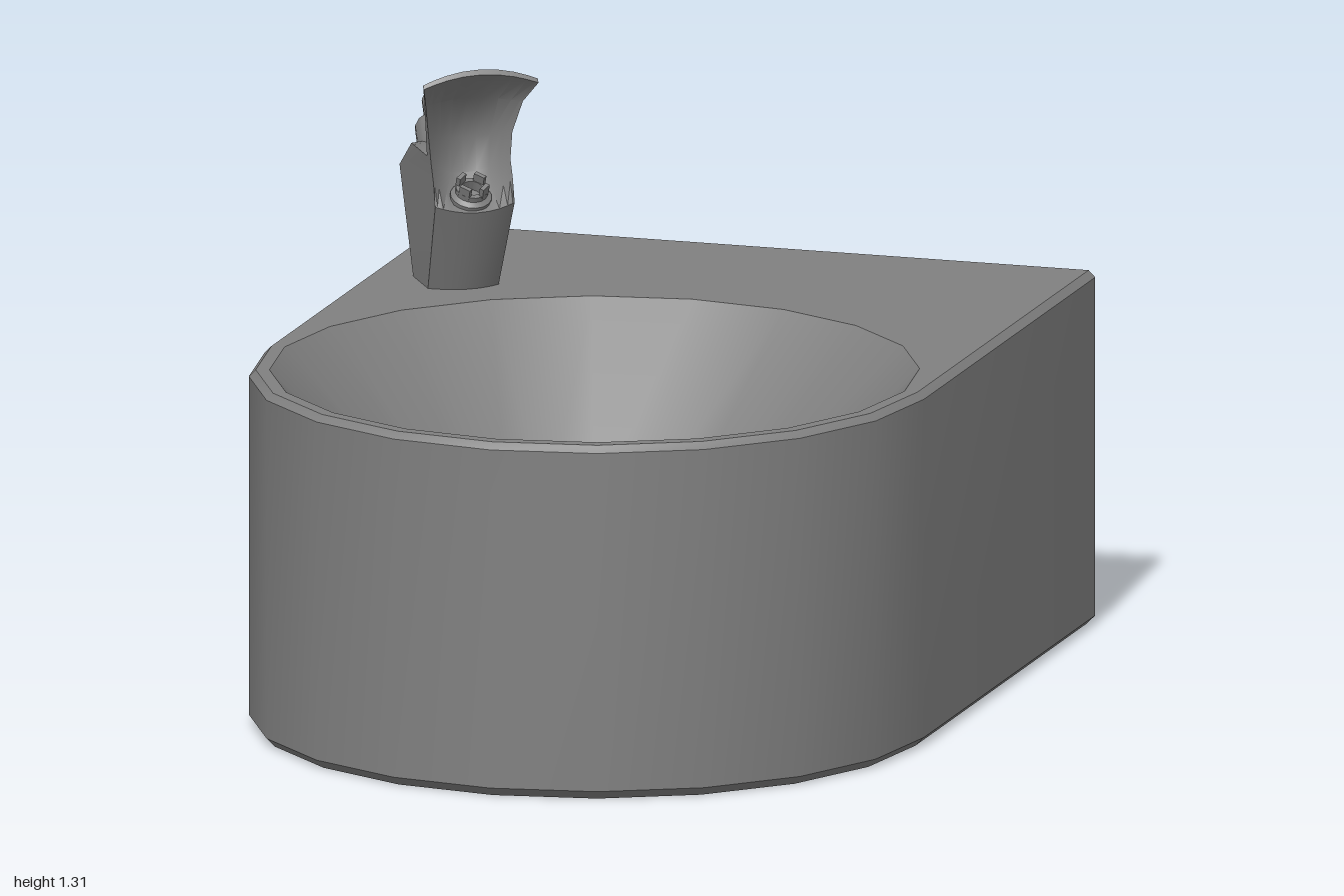
import * as THREE from 'three';
import { toCreasedNormals } from 'three/addons/utils/BufferGeometryUtils.js';

const CX = 0.055, CZ = 0.243, R = 0.757, TOP = 0.795;
const V2 = (x, y) => new THREE.Vector2(x, y);

export function createModel() {
  const model = new THREE.Group();
  const steel = new THREE.MeshStandardMaterial({ color: 0x808080, side: THREE.DoubleSide });
  steel.name = 'steel grey';

  const add = (parent, name, geometry, crease = 0.6) => {
    const mesh = new THREE.Mesh(toCreasedNormals(geometry, crease), steel);
    mesh.name = name;
    parent.add(mesh);
    return mesh;
  };
  const lathe = (points, sides) => new THREE.LatheGeometry(points.map(p => V2(...p)), sides);
  const build = (positions, indices) => {
    const g = new THREE.BufferGeometry();
    g.setAttribute('position', new THREE.Float32BufferAttribute(positions, 3));
    g.setIndex(indices);
    return g;
  };

  // D-shaped outline in plan (x, -z), open at the back
  const outline = inset => {
    const r = R - inset, pts = [V2(CX + r, 1)];
    for (let i = 0; i <= 10; i++) {
      const a = i * Math.PI / 10;
      pts.push(V2(CX + r * Math.cos(a), -CZ - r * Math.sin(a)));
    }
    pts.push(V2(CX - r, 1));
    return pts;
  };

  // Wall with narrow bevels along the top and bottom edges
  const levels = [[0.02, 0], [0, 0.02], [0, TOP - 0.015], [0.015, TOP]];
  const pos = [], idx = [], n = outline(0).length;
  levels.forEach(([inset, y], k) => outline(inset).forEach((p, i) => {
    pos.push(p.x, y, -p.y);
    if (k < levels.length - 1 && i < n - 1) {
      const a = k * n + i;
      idx.push(a, a + n, a + 1, a + 1, a + n, a + n + 1);
    }
  }));
  add(model, 'basinWall', build(pos, idx), 0.5);

  // Floor, and top plate with the bowl opening
  const plate = (name, shape, y) =>
    add(model, name, new THREE.ShapeGeometry(shape).rotateX(-Math.PI / 2).translate(0, y, 0));
  plate('basinFloor', new THREE.Shape(outline(0.02)), 0);
  const topShape = new THREE.Shape(outline(0.015));
  const rim = [];
  for (let i = 0; i < 20; i++) {
    const a = i * Math.PI / 10;
    rim.push(V2(CX + 0.712 * Math.sin(a), -CZ - 0.712 * Math.cos(a)));
  }
  topShape.holes.push(new THREE.Path(rim));
  plate('topPlate', topShape, TOP);

  // Conical bowl with a flat bottom
  const bowl = add(model, 'bowl', lathe([[0, 0.4], [0.325, 0.4], [0.712, TOP]], 20));
  bowl.position.set(CX, 0, CZ);

  // Drain: raised ring and slotted strainer
  const drain = new THREE.Group();
  drain.name = 'drain';
  drain.position.set(CX, 0.4, CZ);
  model.add(drain);
  add(drain, 'drainRing', lathe([[0.218, 0], [0.218, 0.012], [0.212, 0.017], [0.206, 0.012], [0.206, 0]], 40));
  const strainer = new THREE.Shape().absarc(0, 0, 0.207, 0, Math.PI * 2);
  for (let i = 0; i < 11; i++) {
    const a = -Math.PI / 2 + i * Math.PI * 2 / 11;
    const corner = (r, h) => V2(r * Math.cos(a) - h * Math.sin(a), r * Math.sin(a) + h * Math.cos(a));
    strainer.holes.push(new THREE.Path([corner(0.05, -0.01), corner(0.05, 0.01), corner(0.11, 0.02), corner(0.11, -0.02)]));
  }
  strainer.holes.push(new THREE.Path().absarc(0, 0, 0.024, 0, Math.PI * 2, true));
  add(drain, 'strainer', new THREE.ExtrudeGeometry(strainer, { depth: 0.009, bevelEnabled: false, curveSegments: 20 }).rotateX(-Math.PI / 2));

  // Push button on the right side
  const button = new THREE.Group();
  button.name = 'pushButton';
  button.position.set(CX - R, 0.303, -0.515);
  button.rotation.z = Math.PI / 2;
  model.add(button);
  add(button, 'buttonFlange', lathe([[0, 0], [0.195, 0], [0.195, 0.008], [0.188, 0.015], [0, 0.015]], 28));
  add(button, 'buttonCap', lathe([[0.13, 0.01], [0.13, 0.103], [0.12, 0.114], [0, 0.114]], 28));

  // Bubbler, turned to face the bowl
  const bubbler = new THREE.Group();
  bubbler.name = 'bubbler';
  bubbler.position.set(-0.495, 0, -0.49);
  bubbler.rotation.y = 0.57;
  model.add(bubbler);

  // Side profile: [edge z, edge y, middle z, middle y, half width]
  const profile = [
    [0.06, 0.79, 0.09, 0.79, 0.08],
    [0.16, 1.0, 0.175, 0.985, 0.09],
    [0.145, 1.05, 0.1, 1.0, 0.09],
    [0.125, 1.09, 0.06, 1.05, 0.09],
    [0.122, 1.15, 0.055, 1.13, 0.095],
    [0.155, 1.225, 0.095, 1.225, 0.11],
    [0.212, 1.278, 0.21, 1.303, 0.13],
    [0.206, 1.286, 0.204, 1.314, 0.13],
    [0.142, 1.235, 0.08, 1.25, 0.11],
    [0.108, 1.15, 0.035, 1.16, 0.095],
    [0.09, 1.1, 0.01, 1.11, 0.09],
    [-0.04, 1.1, -0.04, 1.105, 0.09],
    [-0.14, 1.03, -0.17, 1.02, 0.09],
    [-0.06, 0.79, -0.09, 0.79, 0.08],
  ];
  const m = profile.length, S = 10, sp = [], si = [];
  for (let j = 0; j <= S; j++) {
    const a = (j / S - 0.5) * Math.PI, c = Math.cos(a) ** 2;
    profile.forEach(([ez, ey, mz, my, w], i) => {
      sp.push(w * Math.sin(a), ey + (my - ey) * c, ez + (mz - ez) * c);
      if (j < S) {
        const p = j * m + i, q = j * m + (i + 1) % m;
        si.push(p, p + m, q + m, p, q + m, q);
      }
    });
  }
  const caps = THREE.ShapeUtils.triangulateShape(profile.map(p => V2(p[0], p[1])), []);
  for (const [a, b, c] of caps) si.push(a, b, c, S * m + a, S * m + c, S * m + b);
  add(bubbler, 'spoutBody', build(sp, si), 0.65);

  // Valve cap on the sloping back of the spout
  const valve = add(bubbler, 'valveCap', lathe([
    [0.07, -0.05], [0.07, 0.045], [0.06, 0.06], [0.047, 0.065], [0.047, 0.105], [0.038, 0.118], [0, 0.118],
  ], 16));
  valve.position.set(0, 1.09, -0.06);
  valve.rotation.x = -0.5;

  // Notched nozzle in the scoop
  const nozzle = new THREE.Group();
  nozzle.name = 'nozzle';
  nozzle.position.set(0, 0.998, 0.12);
  nozzle.rotation.x = 0.45;
  bubbler.add(nozzle);
  add(nozzle, 'nozzleBase', lathe([[0.046, -0.02], [0.046, 0.018], [0.036, 0.026], [0.036, 0.038], [0.024, 0.038], [0.024, 0.015], [0, 0.015]], 16));
  for (let i = 0; i < 4; i++) {
    const a = i * Math.PI / 2 + Math.PI / 4;
    const tooth = add(nozzle, 'nozzleTooth', new THREE.BoxGeometry(0.026, 0.024, 0.01));
    tooth.position.set(0.03 * Math.sin(a), 0.045, 0.03 * Math.cos(a));
    tooth.rotation.y = a;
  }
  return model;
}
